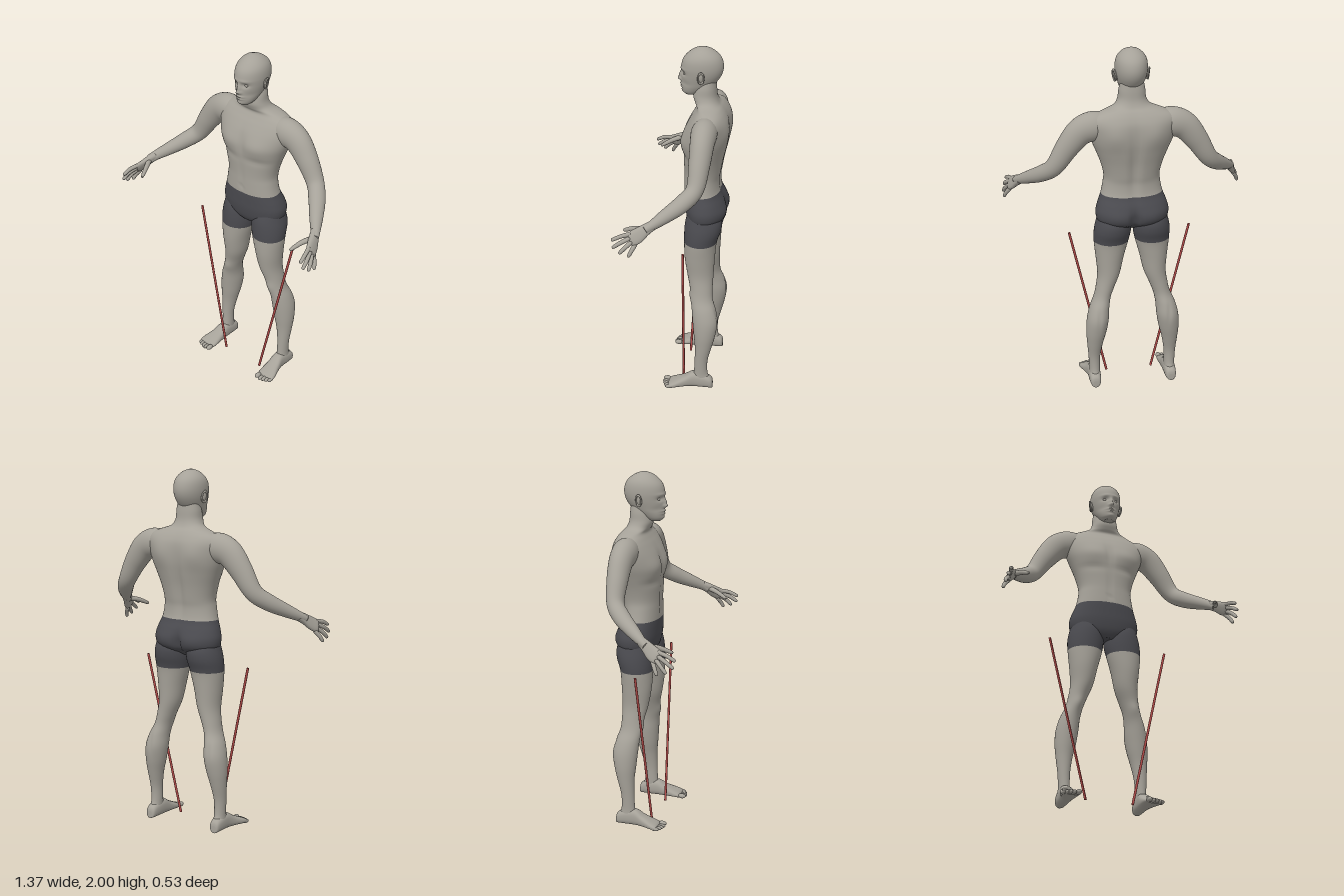
import * as THREE from 'three';

const V = (x, y, z) => new THREE.Vector3(x, y, z);

// Catmull-Rom interpolation of every column of a table of sections
function refine(rows, k) {
  const out = [], last = rows.length - 1;
  const at = i => rows[Math.min(last, Math.max(0, i))];
  for (let i = 0; i < last; i++) {
    for (let s = 0; s < k; s++) {
      const t = s / k, [p, q, r, w] = [at(i - 1), at(i), at(i + 1), at(i + 2)];
      out.push(q.map((b, c) => 0.5 * (2 * b + (r[c] - p[c]) * t
        + (2 * p[c] - 5 * b + 4 * r[c] - w[c]) * t * t
        + (3 * b - p[c] - 3 * r[c] + w[c]) * t * t * t)));
    }
  }
  out.push(rows[last]);
  return out;
}

// Skin over rings {c, a, b}: centre and two half axes, a x b along the path.
// Rows below `split` use material 0, the others material 1.
function loft(rings, { seg = 32, n = 2, bumps = [], split = 0 } = {}) {
  const pos = [], idx = [];
  const pow = v => Math.sign(v) * Math.abs(v) ** (2 / n);
  for (const { c, a, b } of rings) {
    for (let j = 0; j < seg; j++) {
      const t = j / seg * Math.PI * 2, f = Math.cos(t);
      const p = c.clone().addScaledVector(a, pow(f)).addScaledVector(b, pow(Math.sin(t)));
      let dz = 0;
      for (const [x, y, rx, ry, d, side] of bumps) {
        const w = THREE.MathUtils.smoothstep(f * side, 0, 0.5);
        dz += w * d * Math.exp(-(((Math.abs(p.x) - x) / rx) ** 2) - ((p.y - y) / ry) ** 2);
      }
      pos.push(p.x, p.y, p.z + dz);
    }
  }
  const end = rings.length - 1, base = rings.length * seg;
  for (const r of [rings[0], rings[end]]) pos.push(r.c.x, r.c.y, r.c.z);
  for (let j = 0; j < seg; j++) idx.push(base, (j + 1) % seg, j);
  let cut = 0;
  for (let i = 0; i < end; i++) {
    if (i === split) cut = idx.length;
    for (let j = 0; j < seg; j++) {
      const p = i * seg + j, q = i * seg + (j + 1) % seg;
      idx.push(p, q, p + seg, q, q + seg, p + seg);
    }
  }
  for (let j = 0; j < seg; j++) idx.push(base + 1, end * seg + j, end * seg + (j + 1) % seg);
  const g = new THREE.BufferGeometry();
  g.setAttribute('position', new THREE.Float32BufferAttribute(pos, 3));
  g.setIndex(idx);
  g.computeVertexNormals();
  if (split) {
    g.addGroup(0, cut, 0);
    g.addGroup(cut, idx.length - cut, 1);
  }
  return g;
}

// Horizontal sections [y, xMin, xMax, zFront, zBack], listed upwards
const upright = (rows, k, opt) => loft(refine(rows, k).map(([y, x0, x1, zf, zb]) => ({
  c: V((x0 + x1) / 2, y, (zf + zb) / 2), a: V(0, 0, (zf - zb) / 2), b: V((x1 - x0) / 2, 0, 0),
})), opt);

// Limb along a path of [x, y, z, radius along ref, radius across]
function limb(rows, ref, k, opt) {
  const s = refine(rows, k), pt = i => V(...s[Math.min(s.length - 1, Math.max(0, i))].slice(0, 3));
  return loft(s.map((r, i) => {
    const t = pt(i + 1).sub(pt(i - 1)).normalize();
    const a = ref.clone().addScaledVector(t, -ref.dot(t)).normalize();
    return { c: pt(i), a: a.clone().multiplyScalar(r[3]), b: t.cross(a).multiplyScalar(r[4]) };
  }), opt);
}

function mirrored(geo) {
  const g = geo.clone().scale(-1, 1, 1), ix = g.index.array;
  for (let i = 0; i < ix.length; i += 3) [ix[i], ix[i + 1]] = [ix[i + 1], ix[i]];
  g.computeVertexNormals();
  return g;
}

export function createModel() {
  const model = new THREE.Group();
  const mat = (name, color) => Object.assign(new THREE.MeshStandardMaterial({ color }), { name });
  const skin = mat('skin', 0xa6a299), cloth = mat('shorts cloth', 0x4b4b50), red = mat('pole red', 0xb04a48);

  const add = (name, geo, material = skin) => {
    const m = new THREE.Mesh(geo, material);
    m.name = name;
    model.add(m);
  };
  const pair = (name, geo, material) => {
    add('left' + name, geo, material);
    add('right' + name, mirrored(geo), material);
  };
  const even = rows => rows.map(([y, w, f, b]) => [y, -w, w, f, b]);

  // Torso with hips, chest and neck; the sixth section is the waistband
  add('torso', upright(even([
    [0.98, 0.06, -0.06, -0.17], [1.0, 0.14, -0.045, -0.2], [1.03, 0.19, -0.032, -0.24],
    [1.08, 0.203, -0.022, -0.253], [1.13, 0.192, -0.018, -0.243], [1.185, 0.171, -0.015, -0.221],
    [1.25, 0.158, -0.015, -0.215], [1.3, 0.155, -0.015, -0.223], [1.37, 0.172, -0.012, -0.235],
    [1.44, 0.198, -0.008, -0.25], [1.5, 0.222, -0.01, -0.26], [1.56, 0.238, -0.025, -0.262],
    [1.61, 0.242, -0.05, -0.257], [1.645, 0.222, -0.072, -0.243], [1.672, 0.165, -0.085, -0.225],
    [1.695, 0.1, -0.072, -0.205], [1.73, 0.077, -0.06, -0.191], [1.78, 0.071, -0.07, -0.186],
    [1.83, 0.06, -0.09, -0.18],
  ]), 5, {
    seg: 64, n: 2.2, split: 25,
    bumps: [
      [0.1, 1.49, 0.08, 0.055, 0.014, 1], [0.1, 1.405, 0.08, 0.02, -0.006, 1], // chest
      [0, 1.5, 0.015, 0.07, -0.009, 1], [0, 1.3, 0.012, 0.09, -0.005, 1],      // midline
      [0, 1.22, 0.01, 0.01, -0.006, 1],                                        // navel
      [0, 1.38, 0.025, 0.2, 0.018, -1], [0.11, 1.55, 0.06, 0.07, -0.012, -1],  // spine, shoulder blades
      [0.1, 1.06, 0.07, 0.055, -0.012, -1], [0, 1.05, 0.02, 0.06, 0.03, -1],   // buttocks
    ],
  }), [cloth, skin]);

  // Head with a modelled face
  add('head', upright(even([
    [1.733, 0.026, -0.018, -0.07], [1.75, 0.045, -0.002, -0.11], [1.78, 0.061, 0.004, -0.155],
    [1.81, 0.071, 0.005, -0.188], [1.85, 0.082, 0.005, -0.213], [1.89, 0.087, 0.006, -0.222],
    [1.93, 0.084, -0.004, -0.215], [1.96, 0.071, -0.027, -0.195], [1.985, 0.045, -0.06, -0.16],
    [1.999, 0.012, -0.098, -0.122],
  ]), 9, {
    seg: 80,
    bumps: [
      [0.033, 1.858, 0.018, 0.012, -0.013, 1], [0.03, 1.882, 0.028, 0.008, 0.004, 1], // sockets, brows
      [0, 1.835, 0.01, 0.024, 0.015, 1], [0.005, 1.816, 0.012, 0.009, 0.013, 1],      // nose
      [0, 1.79, 0.024, 0.005, 0.008, 1], [0, 1.775, 0.02, 0.005, 0.007, 1],           // lips
      [0, 1.75, 0.02, 0.012, 0.005, 1], [0.05, 1.8, 0.02, 0.02, -0.005, 1],           // chin, cheeks
    ],
  }));
  pair('Eye', new THREE.SphereGeometry(0.012, 16, 10).translate(0.032, 1.857, -0.022));
  const ear = new THREE.SphereGeometry(1, 16, 12).scale(0.01, 0.03, 0.018);
  pair('Ear', ear.rotateZ(-0.12).rotateY(0.3).translate(0.085, 1.852, -0.112));
  const rim = new THREE.TorusGeometry(0.022, 0.005, 8, 24).scale(0.75, 1.35, 1);
  pair('EarRim', rim.rotateY(Math.PI / 2 + 0.3).rotateZ(-0.12).translate(0.093, 1.854, -0.113));

  // Arm from inside the shoulder to the wrist
  pair('Arm', limb([
    [0.13, 1.592, -0.15, 0.06, 0.06], [0.21, 1.59, -0.15, 0.07, 0.081], [0.285, 1.56, -0.15, 0.064, 0.076],
    [0.355, 1.475, -0.147, 0.057, 0.064], [0.425, 1.365, -0.135, 0.047, 0.05], [0.485, 1.308, -0.078, 0.046, 0.045],
    [0.545, 1.26, 0.0, 0.037, 0.036], [0.594, 1.222, 0.066, 0.025, 0.027], [0.61, 1.205, 0.095, 0.022, 0.026],
  ], V(0, 0, 1), 6));

  // Hand: palm, four fingers and thumb
  const side = V(1, 0.3, 0);
  pair('Palm', limb([
    [0.59, 1.225, 0.06, 0.022, 0.026], [0.608, 1.205, 0.095, 0.02, 0.031], [0.627, 1.18, 0.13, 0.017, 0.039],
    [0.642, 1.163, 0.16, 0.014, 0.038], [0.648, 1.158, 0.172, 0.006, 0.028],
  ], side, 5, { seg: 24, n: 2.4 }));
  const fingers = {
    IndexFinger: [[0.632, 1.188, 0.165], [0.648, 1.178, 0.215], [0.655, 1.158, 0.258]],
    MiddleFinger: [[0.641, 1.17, 0.166], [0.66, 1.148, 0.213], [0.667, 1.122, 0.252]],
    RingFinger: [[0.646, 1.152, 0.157], [0.667, 1.124, 0.19], [0.676, 1.096, 0.217]],
    LittleFinger: [[0.645, 1.137, 0.14], [0.666, 1.108, 0.157], [0.676, 1.082, 0.17]],
    Thumb: [[0.607, 1.205, 0.1], [0.577, 1.193, 0.155], [0.552, 1.167, 0.213]],
  };
  for (const [name, [p, q, r]] of Object.entries(fingers)) {
    const s = name === 'Thumb' ? 1.25 : 1, tip = V(...r).sub(V(...q)).setLength(0.008).add(V(...r)).toArray();
    pair(name, limb([[...p, 0.012 * s, 0.012 * s], [...q, 0.011 * s, 0.011 * s],
      [...r, 0.009, 0.009], [...tip, 0.002, 0.002]], side, 4, { seg: 12 }));
  }

  // Leg from the ankle up; the hem of the shorts is at the thirteenth section
  const legRows = [
    [0.03, 0.195, 0.25, -0.1, -0.2], [0.06, 0.19, 0.252, -0.095, -0.195], [0.1, 0.189, 0.251, -0.104, -0.182],
    [0.18, 0.187, 0.255, -0.108, -0.183], [0.27, 0.172, 0.263, -0.108, -0.205], [0.35, 0.152, 0.268, -0.1, -0.225],
    [0.43, 0.139, 0.263, -0.092, -0.236], [0.5, 0.134, 0.245, -0.085, -0.222], [0.56, 0.122, 0.219, -0.076, -0.201],
    [0.62, 0.1, 0.205, -0.069, -0.197], [0.7, 0.068, 0.195, -0.05, -0.199], [0.8, 0.045, 0.203, -0.034, -0.204],
    [0.9, 0.018, 0.213, -0.03, -0.213], [0.97, 0.006, 0.212, -0.03, -0.235], [1.03, 0.01, 0.2, -0.037, -0.235],
    [1.1, 0.04, 0.18, -0.06, -0.2],
  ];
  pair('Leg', upright(legRows, 5, {
    seg: 40, split: 60, bumps: [[0.165, 0.575, 0.03, 0.035, 0.006, 1], [0.2, 0.45, 0.012, 0.06, 0.006, -1]],
  }), [skin, cloth]);

  // Foot as sections [z, xMin, xMax, top] from heel to ball
  const footRows = [
    [-0.213, 0.207, 0.238, 0.04], [-0.203, 0.193, 0.25, 0.065], [-0.16, 0.187, 0.255, 0.088],
    [-0.1, 0.185, 0.257, 0.094], [-0.05, 0.183, 0.268, 0.066], [0, 0.18, 0.285, 0.044],
    [0.032, 0.182, 0.288, 0.03], [0.042, 0.19, 0.28, 0.02],
  ];
  pair('Foot', loft(refine(footRows, 5).map(([z, x0, x1, top]) => ({
    c: V((x0 + x1) / 2, top / 2, z), a: V((x1 - x0) / 2, 0, 0), b: V(0, top / 2, 0),
  })), { n: 2.5 }));
  [[0.197, 0.054, 0.015], [0.221, 0.056, 0.011], [0.241, 0.051, 0.011], [0.26, 0.044, 0.011], [0.277, 0.034, 0.011]]
    .forEach(([x, z, r], i) => pair('Toe' + (i + 1),
      new THREE.SphereGeometry(1, 14, 10).scale(r, r * 0.95, 0.024).translate(x, r, z)));

  // Slanted poles beside the legs
  const foot = V(0.133, 0.003, -0.03), top = V(0.342, 0.928, -0.057);
  pair('Pole', new THREE.TubeGeometry(new THREE.LineCurve3(foot, top), 1, 0.007, 12));
  for (const m of model.children) if (m.name.endsWith('Pole')) m.material = red;
  red.side = THREE.DoubleSide;

  return model;
}
